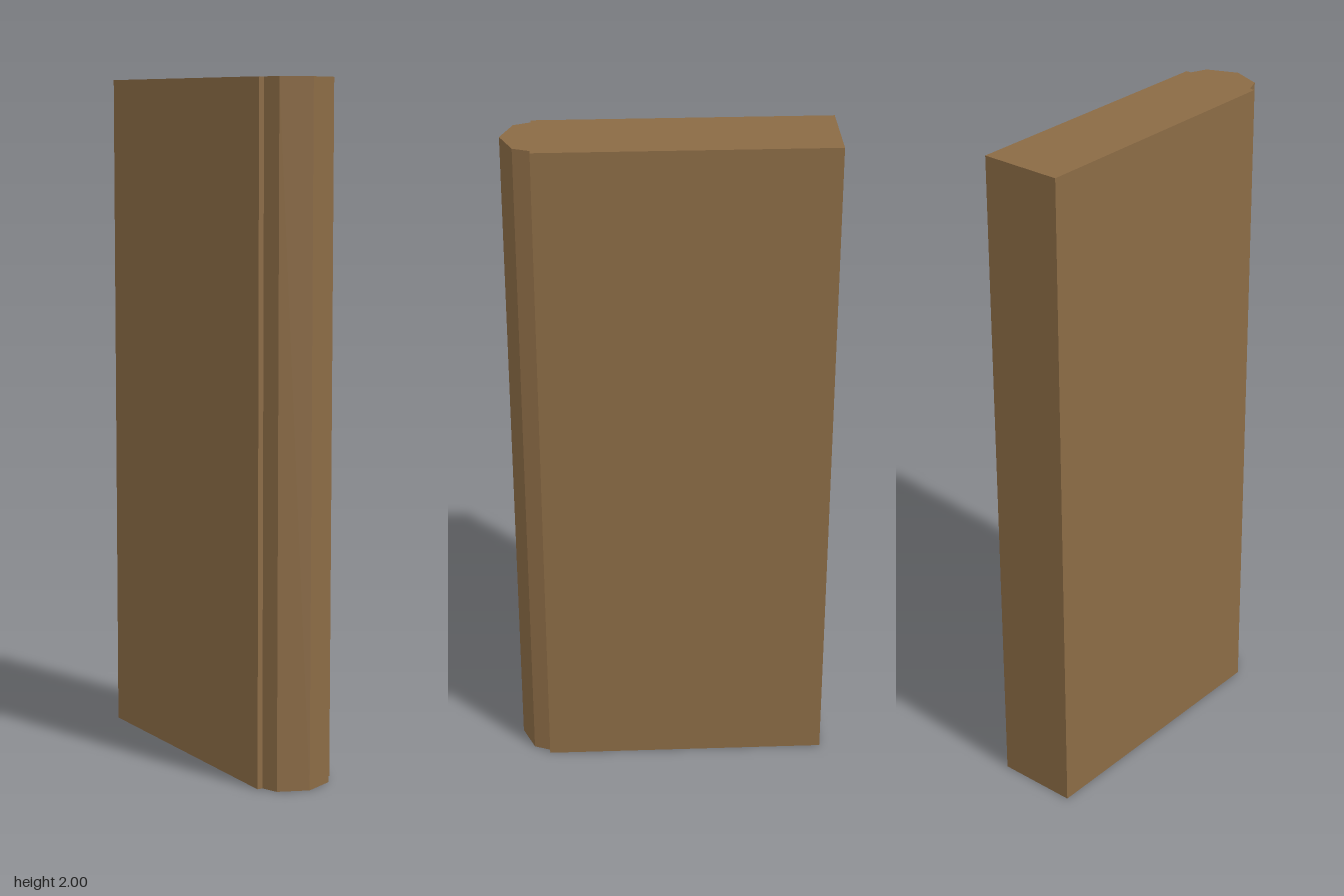
import * as THREE from 'three';

export function createModel() {
  const group = new THREE.Group();
  const height = 2;

  // Right half of the plan outline as [x, z], from back to front tip
  const half = [
    [0.122, -0.465],
    [0.122, 0.38], // small step where the faceted nose begins
    [0.106, 0.38],
    [0.087, 0.428],
  ];
  const mirrored = half.map(([x, z]) => [-x, z]).reverse();
  const outline = [...half, [0, 0.464], ...mirrored];

  // Upright slab with a faceted front edge, extruded along y
  const shape = new THREE.Shape(outline.map(([x, z]) => new THREE.Vector2(x, -z)));
  const geometry = new THREE.ExtrudeGeometry(shape, { depth: height, bevelEnabled: false });
  geometry.rotateX(-Math.PI / 2);

  const material = new THREE.MeshStandardMaterial({ color: 0x8b6b45, flatShading: true });
  const slab = new THREE.Mesh(geometry, material);
  slab.name = 'slabWithFacetedFrontEdge';
  group.add(slab);
  return group;
}
